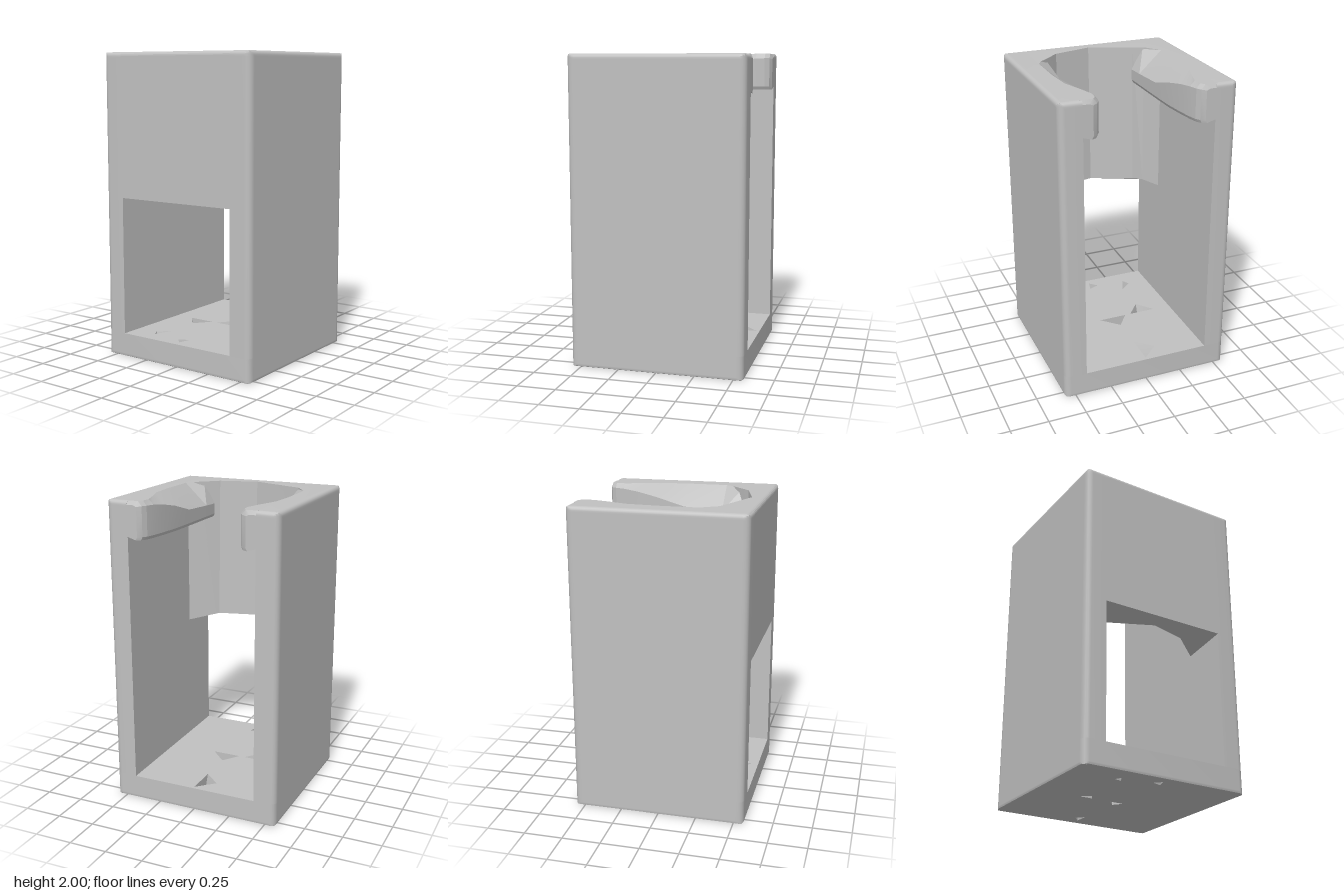
import * as THREE from 'three';
import { toCreasedNormals } from 'three/addons/utils/BufferGeometryUtils.js';

const HX = 0.565;     // half width of the case
const HZ = 0.57;      // half depth of the case
const IN = 0.425;     // inner face of the side walls
const FLOOR = 0.155;
const TOP = [1.965, 1.975, 1.983, 1.991, 1.997, 1.9999, 2];
const body = new THREE.MeshStandardMaterial({ color: 0xc0c0c0 });
body.name = 'plain grey';

// Horizontal outline (points are [x, z]) lifted through the given heights.
function prism(points, levels, holes = []) {
  const toV = ([x, z]) => new THREE.Vector2(x, -z);
  const shape = new THREE.Shape(points.map(toV));
  for (const h of holes) shape.holes.push(new THREE.Path(h.map(toV)));
  const n = levels.length - 1;
  const g = new THREE.ExtrudeGeometry(shape, { depth: n, steps: n, bevelEnabled: false });
  g.rotateX(-Math.PI / 2);
  const p = g.attributes.position;
  for (let i = 0; i < p.count; i++) p.setY(i, levels[Math.round(p.getY(i))]);
  return g;
}

// Pull the outer skin inwards near the top and bottom to round those edges.
function roundEdges(g) {
  const p = g.attributes.position;
  const inset = (r, d) => (d < r ? r - Math.sqrt(r * r - (r - d) ** 2) : 0);
  for (let i = 0; i < p.count; i++) {
    const y = p.getY(i);
    const m = Math.max(inset(0.025, 2 - y), inset(0.01, y));
    p.setX(i, THREE.MathUtils.clamp(p.getX(i), m - HX, HX - m));
    p.setZ(i, THREE.MathUtils.clamp(p.getZ(i), m - HZ, HZ - m));
  }
  return g;
}

function part(name, g, crease = 0.5) {
  const flat = g.index ? g.toNonIndexed() : g;
  flat.computeVertexNormals();
  const m = new THREE.Mesh(toCreasedNormals(flat, crease), body);
  m.name = name;
  return m;
}

// Quarter round at an outer corner, with a short straight lead on both ends.
function corner(sx, sz, a, r = 0.04) {
  const cx = sx * (HX - r);
  const cz = sz * (HZ - r);
  const at = (t, lead) => [
    cx + r * Math.cos(t) + lead * Math.sin(t), cz + r * Math.sin(t) - lead * Math.cos(t)];
  const arc = [0, 1, 2, 3, 4].map((k) => at(a + (k * Math.PI) / 8, 0));
  return [at(a, 0.008), ...arc, at(a + Math.PI / 2, -0.008)];
}

// Floor with small triangular holes that flare open at the upper face.
function floor() {
  const Q = Math.PI / 2;
  const outline = [...corner(1, 1, 0), ...corner(-1, 1, Q), ...corner(-1, -1, 2 * Q), ...corner(1, -1, 3 * Q)];
  const low = [
    [[-0.05, -0.21], [0, -0.27], [0, -0.18]],
    [[0, -0.05], [0.055, 0], [0, 0.045]],
    [[0.4, 0], [0.44, -0.05], [0.5, 0]],
    [[-0.45, -0.25], [-0.41, -0.27], [-0.4, -0.22]],
    [[-0.51, 0], [-0.47, -0.04], [-0.45, 0.02]],
  ];
  const high = [
    [[-0.11, -0.21], [0, -0.3], [0, -0.12]],
    [[0, -0.08], [0.11, 0], [0, 0.11]],
    [[0.34, 0], [0.44, -0.11], [0.545, 0]],
    [[-0.46, -0.25], [-0.41, -0.28], [-0.34, -0.2]],
    [[-0.52, 0], [-0.47, -0.05], [-0.44, 0.02]],
  ];
  const levels = [0, 0.0001, 0.004, 0.01, 0.02, FLOOR];
  const g = roundEdges(prism(outline.reverse(), levels, low));
  const p = g.attributes.position;
  for (let i = 0; i < p.count; i++) {
    if (p.getY(i) < 0.1) continue;
    low.forEach((tri, a) => tri.forEach(([x, z], b) => {
      if (Math.hypot(p.getX(i) - x, p.getZ(i) - z) < 1e-4) {
        p.setX(i, high[a][b][0]);
        p.setZ(i, high[a][b][1]);
      }
    }));
  }
  return part('floor', g);
}

// Tall flat wall on the front (s = 1) or back (s = -1).
function sideWall(s) {
  const pts = [...corner(1, 1, 0), ...corner(-1, 1, Math.PI / 2), [-HX, IN], [HX, IN]]
    .map(([x, z]) => [x, z * s]);
  return part(s > 0 ? 'frontWall' : 'backWall', roundEdges(prism(pts, [FLOOR, ...TOP])));
}

// Upper wall with a faceted, slightly leaning bore; the window is left open below.
function boreWall() {
  const pts = [[-HX, -IN], [-0.23, -IN], [-0.34, -0.35], [-0.35, -0.28], [-0.455, 0],
    [-0.39, 0.25], [-0.3, 0.37], [-0.26, IN], [-HX, IN], [-HX, 0]];
  const g = roundEdges(prism(pts, [1, ...TOP]));
  const p = g.attributes.position;
  for (let i = 0; i < p.count; i++) {
    const z = Math.abs(p.getZ(i));
    const outer = p.getX(i) < -0.5;
    if (p.getY(i) < 1.01) p.setY(i, outer ? 1.062 : 1.055 - 0.2 * Math.max(0, z - 0.25));
    else if (!outer && z < 0.3) p.setX(i, p.getX(i) - 0.02 * (p.getY(i) - 1));
  }
  return part('boreWall', g, 0.15);
}

// Overhanging lip: cross-sections along x of [x, inner z, inner height, top z].
function lip(s) {
  const rows = [
    [-0.36, 0.27, 1.85, 0.35], [-0.23, 0.27, 1.855, IN], [0.03, 0.27, 1.87, IN],
    [0.22, 0.272, 1.925, 0.41], [0.36, 0.285, 1.955, 0.36], [0.46, 0.298, 1.968, 0.33],
    [0.52, 0.312, 1.97, 0.335], [0.55, 0.33, 1.97, 0.355], [HX, 0.36, 1.965, 0.385],
  ];
  const v = [];
  const idx = [];
  for (const [x, zi, yi, zt] of rows) {
    const yTop = x === HX ? 1.975 : 2;
    const ring = [[IN + 0.01, 1.78], [zi + 0.01, 1.76], [zi, 1.78], [zi, yi], [zt, yTop], [IN + 0.01, yTop]];
    for (const [z, y] of ring) v.push(x, y, z * s);
  }
  const tri = (a, b, c) => (s > 0 ? idx.push(a, c, b) : idx.push(a, b, c));
  const n = 6;
  for (let r = 0; r < rows.length - 1; r++) {
    for (let k = 0; k < n; k++) {
      const a = r * n + k;
      const b = r * n + ((k + 1) % n);
      tri(a, a + n, b);
      tri(b, a + n, b + n);
    }
  }
  const e = (rows.length - 1) * n;
  for (let k = 1; k < n - 1; k++) {
    tri(0, k, k + 1);
    tri(e, e + k + 1, e + k);
  }
  const g = new THREE.BufferGeometry();
  g.setAttribute('position', new THREE.Float32BufferAttribute(v, 3));
  g.setIndex(idx);
  return part(s > 0 ? 'frontLip' : 'backLip', g, 0.3);
}

export function createModel() {
  const group = new THREE.Group();
  group.name = 'openCase';
  group.add(floor(), boreWall());
  for (const s of [1, -1]) group.add(sideWall(s), lip(s));
  return group;
}
